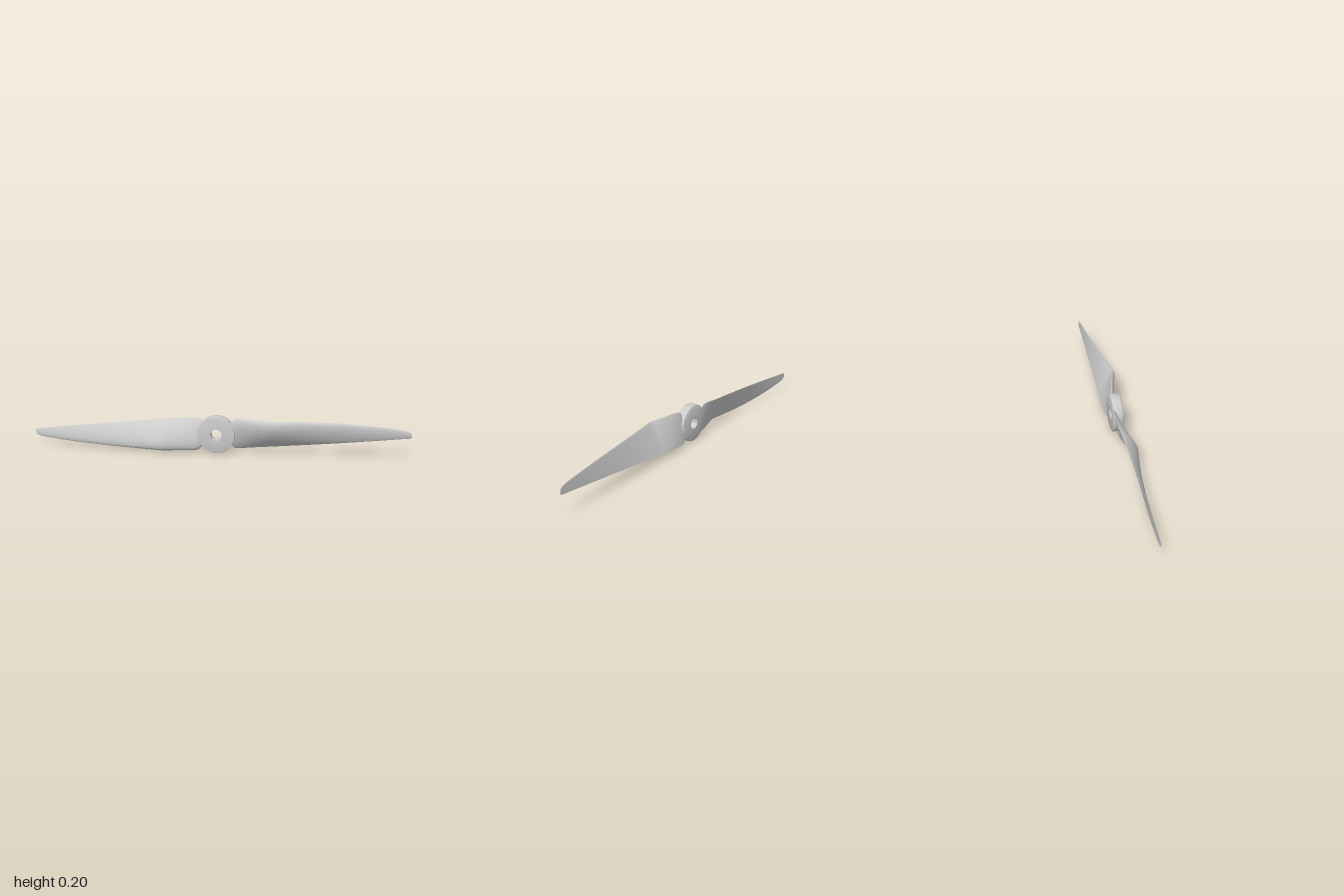
import * as THREE from 'three';
import { toCreasedNormals } from 'three/addons/utils/BufferGeometryUtils.js';

const HUB_Y = 0.098;

// Blade stations: x, leading edge y z, trailing edge y z, thickness.
const ROOT = [
  [0.07, 0.15, -0.014, 0.045, -0.033, 0.015],
  [0.09, 0.178, -0.014, 0.022, -0.039, 0.02],
  [0.105, 0.187, -0.011, 0.018, -0.042, 0.022],
  [0.2, 0.188, 0.011, 0.025, -0.047, 0.03],
  [0.28, 0.187, 0.032, 0.033, -0.044, 0.034],
];
const OUTER = [
  ROOT[4],
  [0.45, 0.186, 0.008, 0.05, -0.039, 0.022],
  [0.65, 0.18, -0.012, 0.071, -0.035, 0.014],
  [0.85, 0.166, -0.024, 0.094, -0.032, 0.008],
  [0.975, 0.15, -0.029, 0.109, -0.031, 0.005],
  [0.993, 0.142, -0.03, 0.111, -0.031, 0.004],
  [1.0, 0.129, -0.03, 0.115, -0.031, 0.003],
];

// Smooth sections along one span of the blade
function sections(stations, steps) {
  const lead = new THREE.CatmullRomCurve3(stations.map(s => new THREE.Vector3(s[0], s[1], s[2])));
  const trail = new THREE.CatmullRomCurve3(stations.map(s => new THREE.Vector3(s[0], s[3], s[4])));
  const list = [];
  const last = stations.length - 1;
  for (let i = 0; i <= steps; i++) {
    const u = i / steps;
    const k = Math.min(Math.floor(u * last), last - 1);
    const thickness = THREE.MathUtils.lerp(stations[k][5], stations[k + 1][5], u * last - k);
    list.push({ lead: lead.getPoint(u), trail: trail.getPoint(u), thickness });
  }
  return list;
}

// Loft of airfoil sections: arched front, nearly flat back
function bladeGeometry() {
  const N = 48;
  const rings = [...sections(ROOT, 24), ...sections(OUTER, 48).slice(1)];
  const positions = [];
  const index = [];
  for (const { lead, trail, thickness } of rings) {
    const chord = trail.clone().sub(lead);
    const normal = new THREE.Vector3(0, chord.z, -chord.y).normalize();
    for (let k = 0; k < N; k++) {
      const a = (k / N) * Math.PI * 2;
      const t = (1 - Math.cos(a)) / 2;
      const arch = 2.375 * Math.sqrt(t) * Math.pow(Math.max(1 - t, 0), 0.8);
      const offset = thickness * arch * (k <= N / 2 ? 1 : -0.1);
      const p = lead.clone().addScaledVector(chord, t).addScaledVector(normal, offset);
      positions.push(p.x, p.y - HUB_Y, p.z);
    }
  }
  for (let i = 0; i < rings.length - 1; i++) {
    for (let k = 0; k < N; k++) {
      const a = i * N + k;
      const b = i * N + (k + 1) % N;
      index.push(a, b, a + N, b, b + N, a + N);
    }
  }
  // Tip and root caps
  const tip = (rings.length - 1) * N;
  for (let k = 1; k < N - 1; k++) {
    index.push(tip, tip + k, tip + k + 1);
    index.push(0, k + 1, k);
  }
  const geometry = new THREE.BufferGeometry();
  geometry.setAttribute('position', new THREE.Float32BufferAttribute(positions, 3));
  geometry.setIndex(index);
  return toCreasedNormals(geometry, 0.32);
}

// Disc with a shaft hole and softened rims
function hubGeometry() {
  const back = -0.038, front = 0.011, r = HUB_Y, hole = 0.03, e = 0.004;
  const profile = [
    [hole, back], [r - e, back], [r - e * 0.3, back + e * 0.3], [r, back + e],
    [r, front - e], [r - e * 0.3, front - e * 0.3], [r - e, front], [hole, front], [hole, back],
  ].map(p => new THREE.Vector2(p[0], p[1]));
  const geometry = new THREE.LatheGeometry(profile, 72);
  geometry.rotateX(Math.PI / 2);
  return toCreasedNormals(geometry, 0.5);
}

export function createModel() {
  const model = new THREE.Group();
  model.name = 'propeller';
  const material = new THREE.MeshStandardMaterial({ color: 0xcccccc });

  const hub = new THREE.Mesh(hubGeometry(), material);
  hub.name = 'hub';
  hub.position.y = HUB_Y;
  model.add(hub);

  // Two identical blades, half a turn apart
  const geometry = bladeGeometry();
  ['leftBlade', 'rightBlade'].forEach((name, i) => {
    const blade = new THREE.Mesh(geometry, material);
    blade.name = name;
    blade.position.y = HUB_Y;
    blade.rotation.z = i * Math.PI;
    model.add(blade);
  });
  return model;
}
